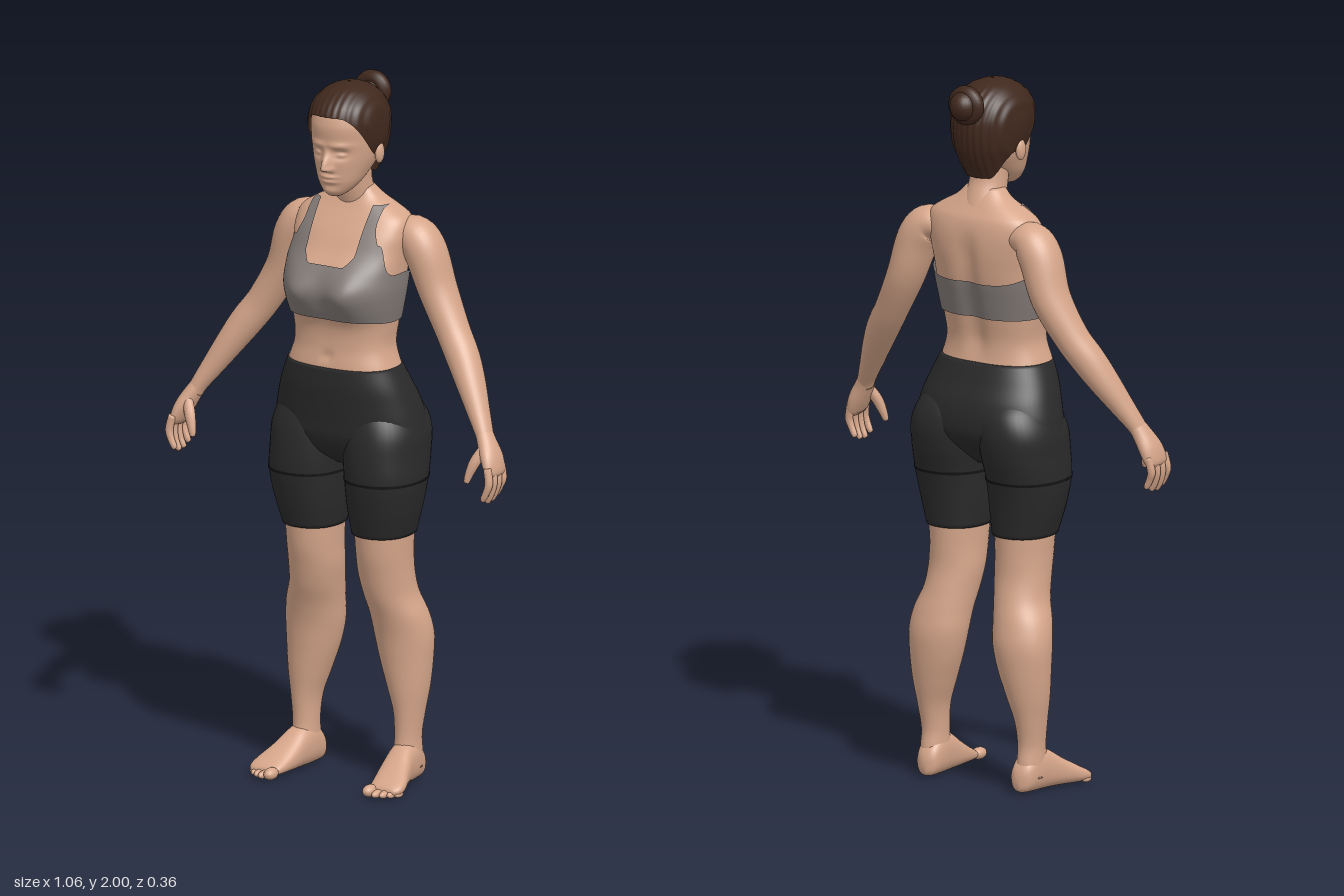
import * as THREE from 'three';

const { smoothstep } = THREE.MathUtils;
const paint = (name, color) => Object.assign(new THREE.MeshStandardMaterial({ color, side: THREE.DoubleSide }), { name });
const gauss = (d, w) => Math.exp(-(d * d) / (w * w));

// Smooth interpolation through rows whose first column is the key
function sample(rows, k) {
  let i = 0;
  while (i < rows.length - 2 && k > rows[i + 1][0]) i++;
  const a = rows[i], b = rows[i + 1], p = rows[i - 1] || a, q = rows[i + 2] || b;
  const h = b[0] - a[0], t = Math.min(1, Math.max(0, (k - a[0]) / h)), u = 1 - t;
  return a.map((v, c) => {
    const m0 = (b[c] - p[c]) / (b[0] - p[0]), m1 = (q[c] - a[c]) / (q[0] - a[0]);
    return v * u * u * (1 + 2 * t) + b[c] * t * t * (3 - 2 * t) + h * t * u * (m0 * u - m1 * t);
  });
}

// Mesh over a stack of rings, turned so its faces look outwards
function skinRings(name, mat, rings, { wrap = true, cap = true } = {}) {
  const n = rings[0].length, pts = rings.flat(), idx = [];
  for (let i = 0; i < rings.length - 1; i++)
    for (let j = 0; j < (wrap ? n : n - 1); j++) {
      const a = i * n + j, b = i * n + (j + 1) % n;
      idx.push(a, b, a + n, b, b + n, a + n);
    }
  if (wrap && cap) [0, rings.length - 1].forEach((r, e) => {
    const c = pts.push(rings[r].reduce((s, p) => s.add(p), new THREE.Vector3()).divideScalar(n)) - 1;
    for (let j = 0; j < n; j++) {
      const a = r * n + j, b = r * n + (j + 1) % n;
      idx.push(...(e ? [a, b, c] : [b, a, c]));
    }
  });
  const mid = pts.reduce((s, p) => s.add(p), new THREE.Vector3()).divideScalar(pts.length);
  let volume = 0;
  for (let i = 0; i < idx.length; i += 3) {
    const [a, b, c] = [0, 1, 2].map(k => pts[idx[i + k]].clone().sub(mid));
    volume += a.dot(b.cross(c));
  }
  if (volume < 0) idx.reverse();
  const g = new THREE.BufferGeometry().setFromPoints(pts);
  g.setIndex(idx);
  g.computeVertexNormals();
  const mesh = new THREE.Mesh(g, mat);
  mesh.name = name;
  return mesh;
}

// Point on a stacked body; rows: [height, centre x, half width, front z, back z]
function surface(rows, y, th, { n = 2, grow = 0, side = 1, bump, lying } = {}) {
  const [, cx, rx, zf, zb] = sample(rows, y), c = Math.cos(th), s = Math.sin(th);
  const e = v => Math.sign(v) * Math.abs(v) ** (2 / n);
  const p = new THREE.Vector3(cx + (rx + grow) * e(c), y, (zf + zb) / 2 + ((zf - zb) / 2 + grow) * e(s));
  if (bump) bump(p, s);
  if (lying) [p.y, p.z] = [p.z, p.y];
  p.x *= side;
  return p;
}

function loft(name, mat, rows, o = {}) {
  const { steps = 40, seg = 40, lo = () => rows[0][0], hi = () => rows.at(-1)[0] } = o, rings = [];
  for (let i = 0; i <= steps; i++)
    rings.push(Array.from({ length: seg }, (_, j) => {
      const th = j / seg * Math.PI * 2;
      return surface(rows, lo(th) + (hi(th) - lo(th)) * i / steps, th, o);
    }));
  return skinRings(name, mat, rings, o);
}

// Limb along a path; rows: [x, y, z, radius across, radius front to back]
function limb(name, mat, path, side = 1, seg = 20) {
  const rows = path.map((r, i) => [i, ...r]), steps = (path.length - 1) * 5, rings = [];
  const at = k => new THREE.Vector3(...sample(rows, k).slice(1, 4));
  for (let i = 0; i <= steps; i++) {
    const k = i / 5, [, , , , a, b] = sample(rows, k), p = at(k);
    const t = at(Math.min(k + 0.1, path.length - 1)).sub(at(Math.max(k - 0.1, 0))).normalize();
    const B = new THREE.Vector3(0, 0, 1).addScaledVector(t, -t.z).normalize(), N = t.clone().cross(B);
    rings.push(Array.from({ length: seg }, (_, j) => {
      const th = j / seg * Math.PI * 2;
      const v = p.clone().addScaledVector(N, a * Math.cos(th)).addScaledVector(B, b * Math.sin(th));
      v.x *= side;
      return v;
    }));
  }
  return skinRings(name, mat, rings);
}

function ball(name, mat, pos, scale, geo = new THREE.SphereGeometry(1, 20, 14)) {
  const m = new THREE.Mesh(geo, mat);
  m.name = name;
  m.position.set(...pos);
  m.scale.set(...scale);
  return m;
}

const TORSO = [
  [1.15, 0, .18, .125, -.1], [1.2, 0, .164, .127, -.085], [1.26, 0, .146, .118, -.08], [1.32, 0, .15, .12, -.09],
  [1.38, 0, .16, .142, -.105], [1.43, 0, .166, .152, -.118], [1.48, 0, .167, .135, -.127], [1.53, 0, .17, .1, -.132],
  [1.58, 0, .175, .07, -.13], [1.62, 0, .165, .042, -.12], [1.645, 0, .13, .025, -.105], [1.67, 0, .085, .012, -.09],
  [1.7, 0, .055, .005, -.07]];
const PELVIS = [
  [.91, 0, .06, .04, -.05], [.95, 0, .17, .095, -.1], [1, 0, .222, .12, -.14], [1.05, 0, .221, .126, -.147],
  [1.1, 0, .209, .131, -.138], [1.15, 0, .192, .135, -.115], [1.205, 0, .168, .134, -.092]];
const SHORT_LEG = [
  [.72, .112, .085, .095, -.1], [.8, .118, .1, .115, -.11], [.88, .122, .109, .129, -.125],
  [.95, .118, .112, .13, -.145], [1.02, .114, .112, .122, -.153], [1.08, .105, .095, .1, -.135], [1.13, .1, .06, .06, -.08]];
const LEG = [
  [.04, .165, .038, .01, -.094], [.08, .165, .037, .008, -.094], [.13, .165, .036, .002, -.088], [.2, .166, .043, .004, -.1],
  [.27, .16, .06, .01, -.117], [.35, .15, .077, .015, -.131], [.42, .143, .086, .022, -.136], [.48, .135, .084, .036, -.126],
  [.54, .12, .077, .056, -.11], [.6, .113, .078, .071, -.097], [.66, .112, .078, .084, -.095], [.74, .112, .081, .092, -.097]];
const FOOT = [ // key is z, then centre x, half width, top, sole
  [-.106, .16, .012, .055, .012], [-.094, .161, .03, .08, .003], [-.05, .164, .039, .12, 0], [0, .169, .041, .113, 0],
  [.05, .178, .047, .082, 0], [.1, .191, .052, .052, 0], [.13, .195, .048, .036, .002], [.145, .192, .036, .026, .006]];
const HEAD = [
  [1.692, 0, .02, .092, .05], [1.705, 0, .038, .104, .015], [1.73, 0, .058, .111, -.02], [1.76, 0, .072, .115, -.06],
  [1.8, 0, .086, .118, -.1], [1.85, 0, .094, .12, -.118], [1.9, 0, .095, .122, -.118], [1.95, 0, .082, .1, -.098],
  [1.98, 0, .052, .06, -.065], [1.99, 0, .02, .02, -.03]];
const HAIR = [
  [1.71, 0, .05, .02, -.072], [1.74, 0, .068, .06, -.088], [1.78, 0, .084, .1, -.11], [1.82, 0, .098, .118, -.126],
  [1.87, 0, .105, .129, -.133], [1.91, 0, .104, .131, -.13], [1.95, 0, .091, .113, -.11], [1.98, 0, .064, .076, -.076],
  [1.995, 0, .032, .04, -.04], [2, 0, .003, .004, -.004]];

// Bust, navel and spine groove
const torsoBump = (p, s) => {
  if (s > 0) p.z += s * (.028 * gauss(Math.abs(p.x) - .08, .052) * gauss(p.y - 1.425, .06) - .008 * gauss(p.x, .012) * gauss(p.y - 1.235, .014));
  else p.z += -s * .014 * gauss(p.x, .03) * smoothstep(p.y, 1.18, 1.28) * (1 - smoothstep(p.y, 1.5, 1.62));
};
// Nose, lips, chin, brow, eye sockets and lids
const faceBump = (p, s) => {
  if (s <= 0) return;
  const x = Math.abs(p.x), y = p.y;
  p.z += .03 * gauss(x, .013 + .05 * Math.max(0, 1.8 - y) * .4) * smoothstep(y, 1.762, 1.778) * (1 - smoothstep(y, 1.78, 1.84))
    + .007 * gauss(x - .013, .008) * gauss(y - 1.775, .009)
    + .008 * gauss(x, .026) * (gauss(y - 1.752, .006) + gauss(y - 1.738, .007))
    + .006 * gauss(x, .025) * gauss(y - 1.708, .012) + .006 * gauss(x - .035, .03) * gauss(y - 1.843, .01)
    - .014 * gauss(x - .036, .02) * gauss(y - 1.818, .014) + .01 * gauss(x - .037, .013) * gauss(y - 1.816, .007);
};

export function createModel() {
  const skin = paint('skin', 0xd6a68a), grey = paint('grey top', 0x827a77), black = paint('black shorts', 0x2a2a2b);
  const seamMat = paint('dark seam', 0x141414), brown = paint('brown hair', 0x40281d);
  const model = new THREE.Group();
  model.name = 'standingWoman';
  const body = { n: 2.5, bump: torsoBump };

  // Trunk, neck and head
  model.add(loft('torso', skin, TORSO, { ...body, steps: 80, seg: 96 }));
  model.add(limb('neck', skin, [[0, 1.6, -.055, .07, .06], [0, 1.65, -.042, .06, .056], [0, 1.71, -.02, .054, .054], [0, 1.79, -.01, .056, .058]], 1, 32));
  model.add(loft('head', skin, HEAD, { n: 2.15, bump: faceBump, steps: 130, seg: 144 }));

  // Hair cap with a rounded hairline and fine strands, and a coiled bun
  const hairline = th => {
    const s = Math.sin(th);
    return s > 0 ? 1.805 + .12 * smoothstep(s, .1, .97) : 1.805 - .075 * smoothstep(-s, .15, .8);
  };
  model.add(loft('hair', brown, HAIR, {
    n: 2.1, steps: 40, seg: 144, lo: hairline, hi: () => 2, cap: false,
    bump: p => { const r = 1 + .012 * Math.sin(p.x * 330 + p.y * 20); p.x *= r; p.z *= r; }
  }));
  model.add(ball('bunCoil', brown, [0, 1.945, -.125], [1, 1, 1.1], new THREE.TorusGeometry(.036, .02, 12, 32)));
  model.add(ball('bunCentre', brown, [0, 1.945, -.136], [.04, .042, .042]));

  // Cropped top: band around the chest
  model.add(loft('croppedTop', grey, TORSO, {
    ...body, grow: .006, steps: 30, seg: 128, cap: false,
    lo: th => 1.335 + .012 * Math.max(0, Math.sin(th)),
    hi: th => {
      const s = Math.sin(th), f = Math.abs(Math.cos(th)) ** .8;
      return s > 0 ? 1.5 + .06 * smoothstep(f, .3, .6) - .085 * smoothstep(f, .75, 1) : 1.475 - .035 * smoothstep(-s, 0, 1);
    }
  }));

  // Shorts: seat
  model.add(loft('shortsSeat', black, PELVIS, { n: 2.3, seg: 64 }));

  for (const side of [1, -1]) {
    const tag = side > 0 ? 'left' : 'right';
    const add = m => { m.name = tag + m.name; model.add(m); };

    // Shoulder strap following the chest
    const strap = [];
    for (let i = 0; i <= 16; i++) {
      const t = i / 16, y = 1.52 + .137 * t, rx = sample(TORSO, y)[2] + .007;
      const inner = .078 + .006 * t, outer = .142 - .028 * smoothstep(t, 0, .7);
      strap.push(Array.from({ length: 7 }, (_, j) => {
        const f = Math.min(1, (inner + (outer - inner) * j / 6) / rx);
        return surface(TORSO, y, Math.acos(f ** 1.25), { ...body, grow: .007, side });
      }));
    }
    add(skinRings('Strap', grey, strap, { wrap: false }));

    // Legs of the shorts with a seam, and bare legs
    add(loft('ShortsLeg', black, SHORT_LEG, { n: 2.2, side }));
    add(loft('ShortsSeam', seamMat, SHORT_LEG, { n: 2.2, side, grow: .002, steps: 2, lo: () => .877, hi: () => .885, cap: false }));
    add(loft('Leg', skin, LEG, { side, steps: 60 }));

    // Foot and toes
    add(loft('Foot', skin, FOOT, { n: 2.4, side, lying: true }));
    for (let i = 0; i < 5; i++) {
      const r = i ? .0125 - .0007 * i : .018;
      add(ball('Toe', skin, [side * [.16, .184, .203, .22, .234][i], r * .95, [.154, .153, .146, .135, .12][i]], [r, r * .95, .027 - .002 * i]));
    }

    // Arm, hand, fingers and thumb
    add(limb('Arm', skin, [
      [.13, 1.575, -.06, .035, .045], [.175, 1.57, -.06, .054, .06], [.21, 1.525, -.062, .058, .066], [.247, 1.42, -.066, .052, .062],
      [.305, 1.315, -.05, .047, .052], [.35, 1.25, -.03, .046, .05], [.388, 1.19, -.008, .04, .046],
      [.43, 1.12, .02, .031, .036], [.46, 1.07, .04, .024, .03], [.472, 1.045, .048, .022, .028]], side, 32));
    add(limb('Palm', skin, [
      [.455, 1.08, .036, .02, .026], [.475, 1.045, .048, .024, .033], [.497, 1.005, .058, .025, .044],
      [.511, .97, .066, .019, .045], [.514, .955, .068, .01, .038]], side, 24));
    for (let i = 0; i < 4; i++) {
      const z = .03 + .0245 * i, drop = [.012, .002, 0, .01][i];
      add(limb('Finger', skin, [
        [.51, .985, z, .011, .012], [.518, .945, z + .004, .0115, .0115], [.512, .91 + drop, z + .006, .01, .01],
        [.5, .885 + drop, z + .006, .008, .008], [.497, .88 + drop, z + .006, .001, .001]], side, 12));
    }
    add(limb('Thumb', skin, [
      [.482, 1.035, .07, .014, .014], [.463, .995, .09, .016, .015], [.45, .96, .1, .012, .012],
      [.444, .937, .105, .008, .008], [.443, .933, .106, .001, .001]], side, 12));

    // Ear
    add(ball('Ear', skin, [side * .097, 1.808, -.002], [.011, .03, .019]));
  }
  return model;
}
